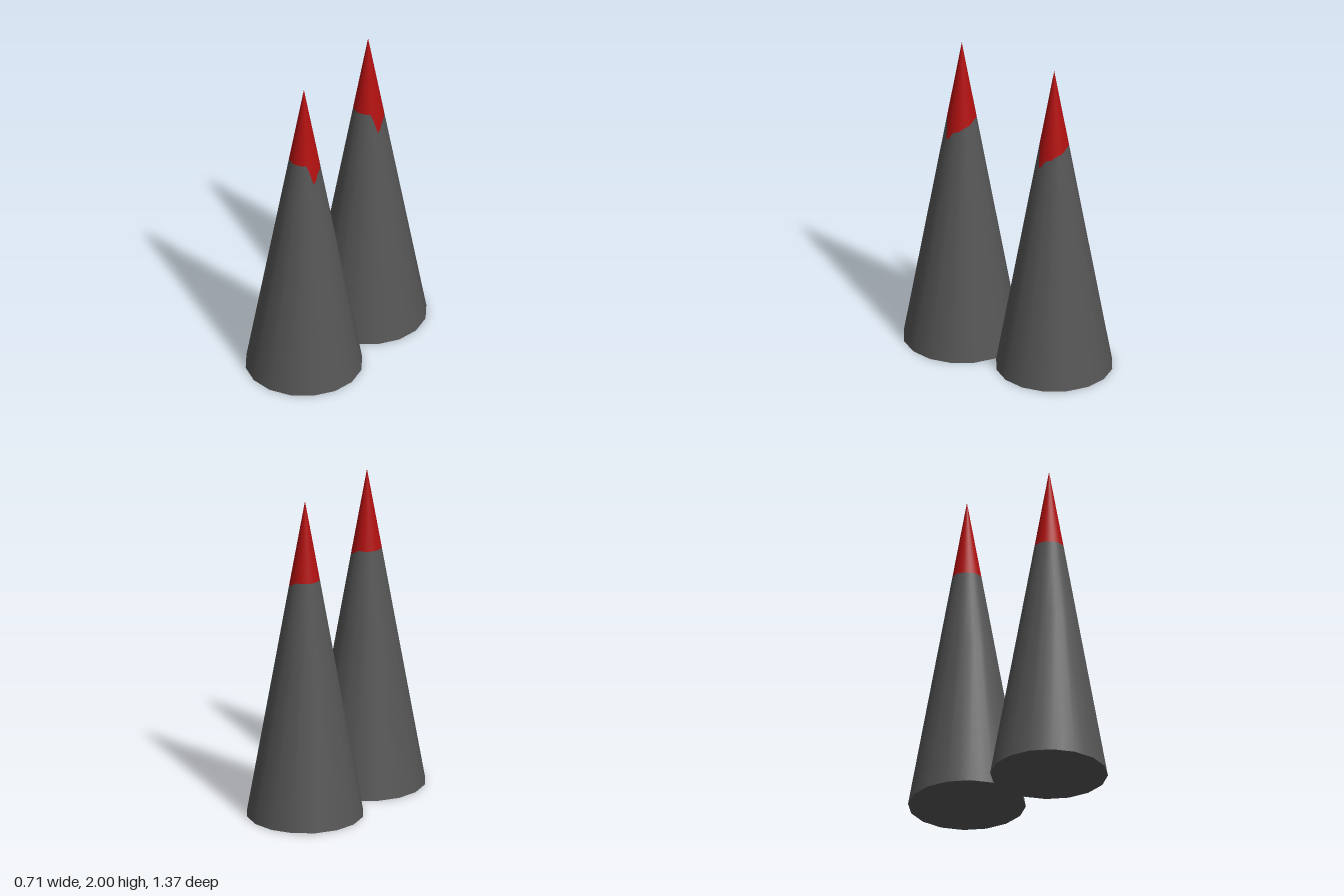
import * as THREE from 'three';

const HEIGHT = 2, RADIUS = 0.354, COLS = 32, SPACING = 0.33;

// Height of the paint edge per column; column 0 faces +x, counting towards +z.
const paintEdge = { 3: 1.45, 2: 1.37, 1: 1.39, 0: 1.425, 31: 1.435, 30: 1.44, 29: 1.455, 28: 1.465, 27: 1.47, 26: 1.48, 25: 1.49 };
const edgeY = (i) => paintEdge[i] ?? 1.5;

// Point on the cone: 16-sided at the foot, round at the top, slightly dented on +x.
function conePoint(i, y) {
  const a = (i / COLS) * Math.PI * 2;
  let r = RADIUS * (1 - y / HEIGHT);
  if (i % 2) r *= THREE.MathUtils.lerp(Math.cos(Math.PI / 16), 1, Math.min(y / 1.5, 1));
  if (y === 1.27 && (i <= 2 || i >= 30)) r -= 0.008;
  return [r * Math.cos(a), y, r * Math.sin(a)];
}

// Skin through rings; each ring gives a height for every column.
function skin(rings) {
  const pos = [], index = [];
  rings.forEach((ring, k) => {
    for (let i = 0; i < COLS; i++) {
      pos.push(...conePoint(i, ring(i)));
      if (k === rings.length - 1) continue;
      const a = k * COLS + i, b = k * COLS + ((i + 1) % COLS);
      index.push(a, a + COLS, b, b, a + COLS, b + COLS);
    }
  });
  const g = new THREE.BufferGeometry();
  g.setAttribute('position', new THREE.Float32BufferAttribute(pos, 3));
  g.setIndex(index);
  g.computeVertexNormals();
  return g;
}

export function createModel() {
  const model = new THREE.Group();
  const grey = new THREE.MeshStandardMaterial({ color: 0x555555 });
  const red = new THREE.MeshStandardMaterial({ color: 0xb01010 });

  const bodyGeo = skin([() => 0, () => 1, () => 1.27, edgeY]);
  const tipGeo = skin([edgeY, () => HEIGHT]);
  const baseGeo = new THREE.CircleGeometry(RADIUS, 16).rotateX(Math.PI / 2);

  for (const side of [1, -1]) {
    const spike = new THREE.Group();
    spike.name = side > 0 ? 'frontSpike' : 'backSpike';
    const add = (name, geo, mat) => {
      const mesh = new THREE.Mesh(geo, mat);
      mesh.name = name;
      spike.add(mesh);
    };
    add('spikeBody', bodyGeo, grey);
    add('paintedTip', tipGeo, red);
    add('spikeBase', baseGeo, grey);
    spike.position.z = side * SPACING;
    model.add(spike);
  }
  return model;
}
